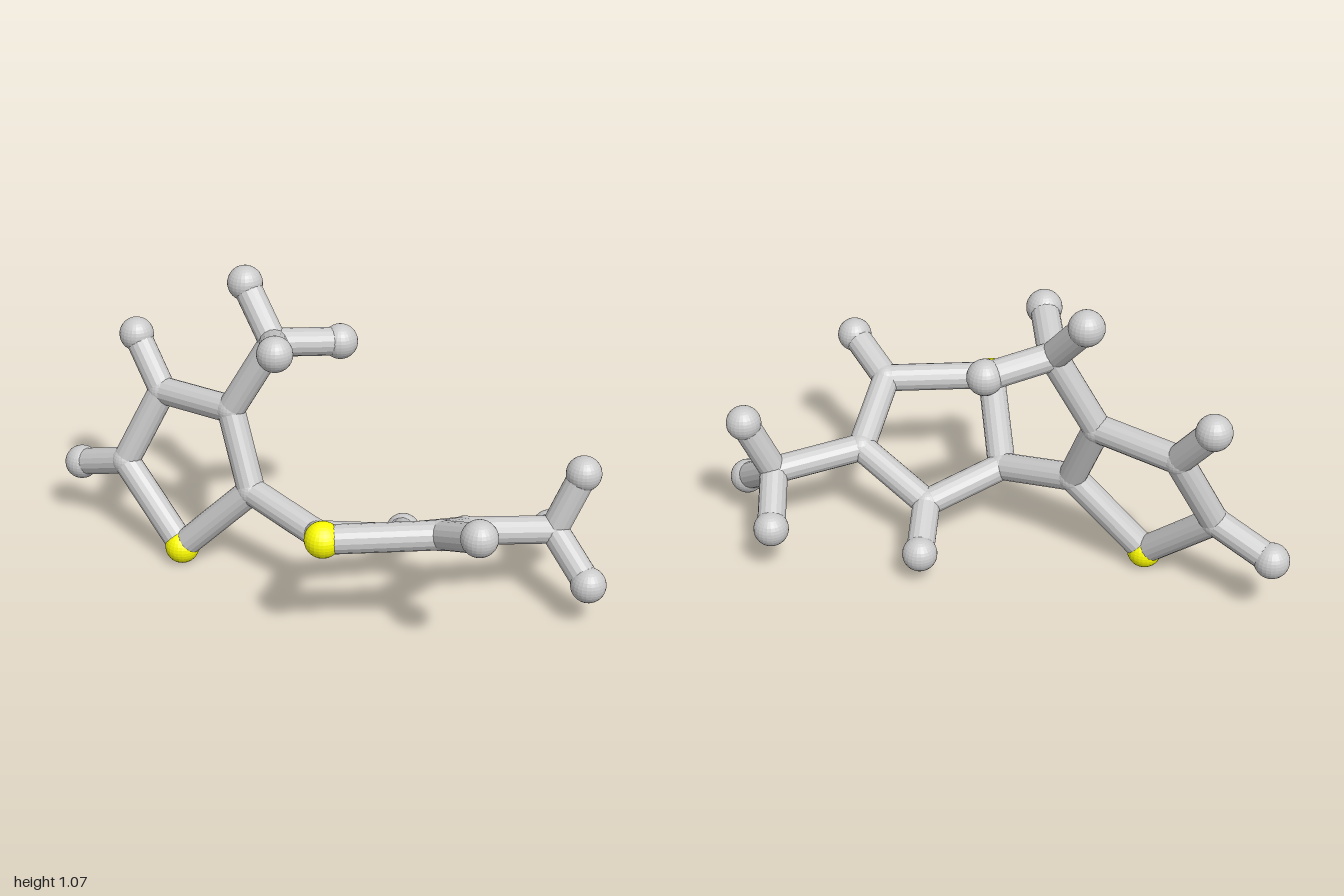
import * as THREE from 'three';

const BALL = 0.06, JOINT = 0.051, STICK = 0.048;

// Joints and end balls: name -> [x, y, z]
const ringA = {
  sulfur: [-0.465, 0.06, 0.117],
  outer: [-0.73, 0.3, 0.045],
  top: [-0.62, 0.563, -0.038],
  branch: [-0.32, 0.58, 0.01],
  link: [-0.21, 0.322, 0.072],
  methyl: [-0.176, 0.843, -0.031],
  outerEnd: [-0.943, 0.225, 0.008],
  topEnd: [-0.75, 0.73, -0.09],
  methylEnd1: [-0.313, 1.008, -0.09],
  methylEnd2: [-0.066, 0.902, 0.16],
  methylEnd3: [-0.01, 0.815, -0.197],
};
const ringB = {
  sulfur: [0.24, 0.428, 0.415],
  outer: [0.567, 0.438, 0.232],
  branch: [0.537, 0.31, -0.033],
  top: [0.263, 0.185, -0.087],
  link: [0.074, 0.255, 0.128],
  methyl: [0.773, 0.275, -0.235],
  outerEnd: [0.74, 0.524, 0.333],
  topEnd: [0.205, 0.105, -0.267],
  methylEnd1: [0.847, 0.48, -0.288],
  methylEnd2: [0.69, 0.17, -0.418],
  methylEnd3: [0.937, 0.153, -0.145],
};

// Sticks shared by both rings
const branches = [
  ['outer', 'outerEnd'], ['top', 'topEnd'], ['branch', 'methyl'],
  ['methyl', 'methylEnd1'], ['methyl', 'methylEnd2'], ['methyl', 'methylEnd3'],
];
const loopA = ['sulfur', 'outer', 'top', 'branch', 'link'];
const loopB = ['sulfur', 'outer', 'branch', 'top', 'link'];

export function createModel() {
  const model = new THREE.Group();
  const grey = new THREE.MeshStandardMaterial({ color: 0xcccccc, flatShading: true });
  const yellow = new THREE.MeshStandardMaterial({ color: 0xffff00, flatShading: true });
  const ballGeometry = new THREE.SphereGeometry(1, 24, 16);
  const stickGeometry = new THREE.CylinderGeometry(STICK, STICK, 1, 16);
  const up = new THREE.Vector3(0, 1, 0);

  // A stick running between two points
  function addStick(parent, name, from, to) {
    const a = new THREE.Vector3(...from), b = new THREE.Vector3(...to);
    const stick = new THREE.Mesh(stickGeometry, grey);
    stick.name = name;
    stick.position.copy(a).lerp(b, 0.5);
    stick.scale.y = a.distanceTo(b);
    stick.quaternion.setFromUnitVectors(up, b.sub(a).normalize());
    parent.add(stick);
  }

  // One five-sided ring with its side branches
  function addRing(name, points, loop) {
    const ring = new THREE.Group();
    ring.name = name;
    for (const [key, p] of Object.entries(points)) {
      const isSulfur = key === 'sulfur';
      const large = isSulfur || key.includes('End');
      const ball = new THREE.Mesh(ballGeometry, isSulfur ? yellow : grey);
      ball.name = key + (large ? 'Ball' : 'Joint');
      ball.position.set(...p);
      ball.scale.setScalar(large ? BALL : JOINT);
      ring.add(ball);
    }
    loop.forEach((key, i) => {
      addStick(ring, 'ringStick', points[key], points[loop[(i + 1) % loop.length]]);
    });
    for (const [a, b] of branches) addStick(ring, 'branchStick', points[a], points[b]);
    model.add(ring);
  }

  addRing('rightRing', ringA, loopA);
  addRing('leftRing', ringB, loopB);

  // Stick joining the two rings
  addStick(model, 'linkStick', ringA.link, ringB.link);
  return model;
}
